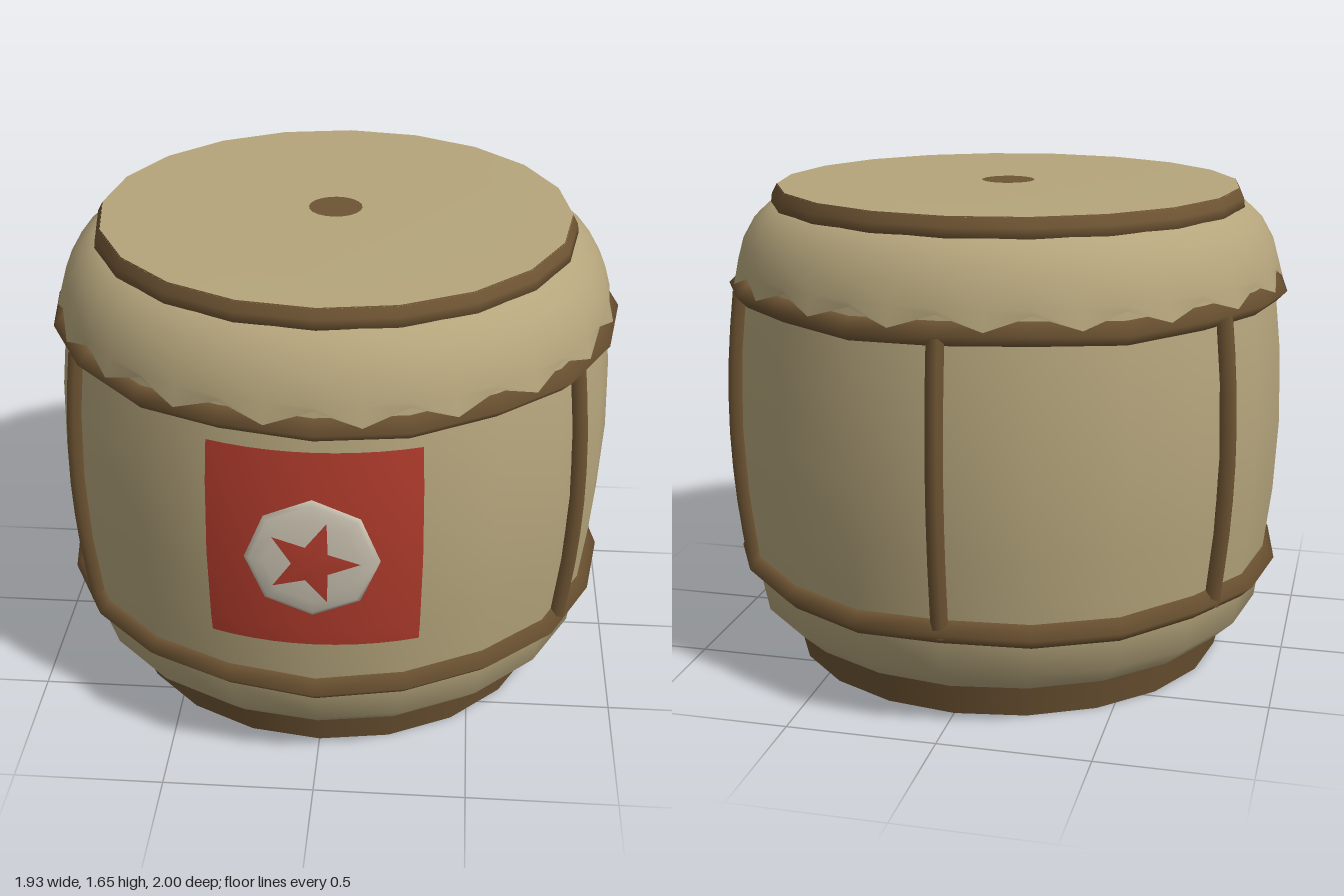
import * as THREE from 'three';
import { mergeVertices } from 'three/addons/utils/BufferGeometryUtils.js';

const SIDES = 20;
const mat = (name, color, side = THREE.FrontSide) => {
  const m = new THREE.MeshStandardMaterial({ color, side });
  m.name = name;
  return m;
};

// barrel wall: [radius, height]
const WALL = [[0.81, 0.12], [0.895, 0.2], [0.912, 0.32], [0.945, 0.6], [0.957, 0.85], [0.948, 1.1], [0.925, 1.31], [0.905, 1.4]];
const toV2 = pts => pts.map(([r, y]) => new THREE.Vector2(r, y));
const wallRadius = y => {
  for (let i = 1; i < WALL.length; i++) {
    const [r0, y0] = WALL[i - 1], [r1, y1] = WALL[i];
    if (y <= y1) return r0 + (r1 - r0) * (y - y0) / (y1 - y0);
  }
  return 0.9;
};

export function createModel() {
  const hide = mat('hide tan', 0xb5a57c, THREE.DoubleSide);
  const wood = mat('dark wood', 0x6e5433);
  const red = mat('banner red', 0xb03b2c, THREE.DoubleSide);
  const white = mat('badge white', 0xc9c1b0);

  const model = new THREE.Group();
  model.name = 'drum';
  const drum = new THREE.Group();
  drum.name = 'drumBody';
  drum.position.z = -0.02;
  model.add(drum);
  const add = (name, geo, material, parent = drum) => {
    const m = new THREE.Mesh(geo, material);
    m.name = name;
    parent.add(m);
    return m;
  };
  const lathe = (pts, seg = SIDES) => new THREE.LatheGeometry(toV2(pts), seg);

  // barrel and foot
  add('barrel', lathe(WALL), hide);
  add('barrelUnderside', lathe([[0.7, 0.12], [0.81, 0.12]]), hide);
  add('foot', lathe([[0.76, 0], [0.79, 0.125]]), wood);
  add('footBottom', lathe([[0, 0], [0.76, 0]]), wood);

  // stretched skin with a ruffled lower edge
  const skinPts = [[0.925, 1.33], [0.93, 1.39], [0.91, 1.46], [0.87, 1.53], [0.82, 1.575], [0.79, 1.585]];
  let skin = lathe(skinPts, SIDES * 2);
  const p = skin.attributes.position;
  for (let i = 0; i < p.count; i++) {
    if (i % skinPts.length) continue;
    const odd = (i / skinPts.length) % 2;
    const k = odd ? 1.025 : 1.0;
    p.setXYZ(i, p.getX(i) * k, odd ? 1.325 : 1.37, p.getZ(i) * k);
  }
  skin.deleteAttribute('uv');
  skin.deleteAttribute('normal');
  skin = mergeVertices(skin);
  skin.computeVertexNormals();
  add('skinSkirt', skin, hide);

  // rim, drum head and centre spot
  add('rim', lathe([[0.785, 1.56], [0.812, 1.58], [0.808, 1.61], [0.79, 1.643]]), wood);
  add('drumHead', lathe([[0.792, 1.64], [0.6, 1.643], [0, 1.643]]), hide);
  const spot = add('centreSpot', new THREE.CircleGeometry(0.09, 20), wood);
  spot.rotation.x = -Math.PI / 2;
  spot.position.y = 1.647;

  // slightly uneven hoops
  for (const [name, y, r] of [['upperHoop', 1.31, 0.925], ['lowerHoop', 0.35, 0.92]]) {
    const hoop = new THREE.TorusGeometry(r, 0.04, 4, SIDES);
    hoop.rotateX(Math.PI / 2);
    const q = hoop.attributes.position;
    for (let i = 0; i < q.count; i++) {
      const a = Math.atan2(q.getZ(i), q.getX(i));
      q.setY(i, q.getY(i) + 0.008 * Math.sin(a * 7 + y));
    }
    add(name, hoop, wood).position.y = y;
  }

  // upright battens every sixth of a turn, except at the front
  for (let k = 1; k < 6; k++) {
    const a = k * Math.PI / 3;
    const pts = [0.34, 0.6, 0.85, 1.1, 1.31].map(y => {
      const r = wallRadius(y) + 0.004;
      return new THREE.Vector3(r * Math.sin(a), y, r * Math.cos(a));
    });
    add('batten' + k, new THREE.TubeGeometry(new THREE.CatmullRomCurve3(pts), 8, 0.029, 6), wood);
  }

  // curved banner following the wall
  const half = 0.357;
  const bannerPts = [0.54, 0.6, 0.72, 0.85, 0.98, 1.1, 1.24].map(y => [wallRadius(y) + 0.009, y]);
  add('banner', new THREE.LatheGeometry(toV2(bannerPts), 10, -half, half * 2), red);

  // lens shaped eight sided badge
  const badge = new THREE.Group();
  badge.name = 'badge';
  badge.position.set(0, 0.89, 0.962);
  model.add(badge);
  const lens = new THREE.SphereGeometry(0.21, 8, 8);
  lens.rotateX(Math.PI / 2);
  lens.scale(1, 1, 0.026 / 0.21);
  add('badgeDisc', lens, white, badge);

  // raised five pointed star
  const star = [0, 0, 0.037];
  const index = [];
  for (let i = 0; i < 10; i++) {
    const a = i * Math.PI / 5, r = i % 2 ? 0.062 : 0.15;
    star.push(r * Math.cos(a), r * Math.sin(a), i % 2 ? 0.031 : 0.024);
    index.push(0, i + 1, (i + 1) % 10 + 1);
  }
  const starGeo = new THREE.BufferGeometry();
  starGeo.setAttribute('position', new THREE.Float32BufferAttribute(star, 3));
  starGeo.setIndex(index);
  starGeo.computeVertexNormals();
  add('star', starGeo, red, badge);

  return model;
}
